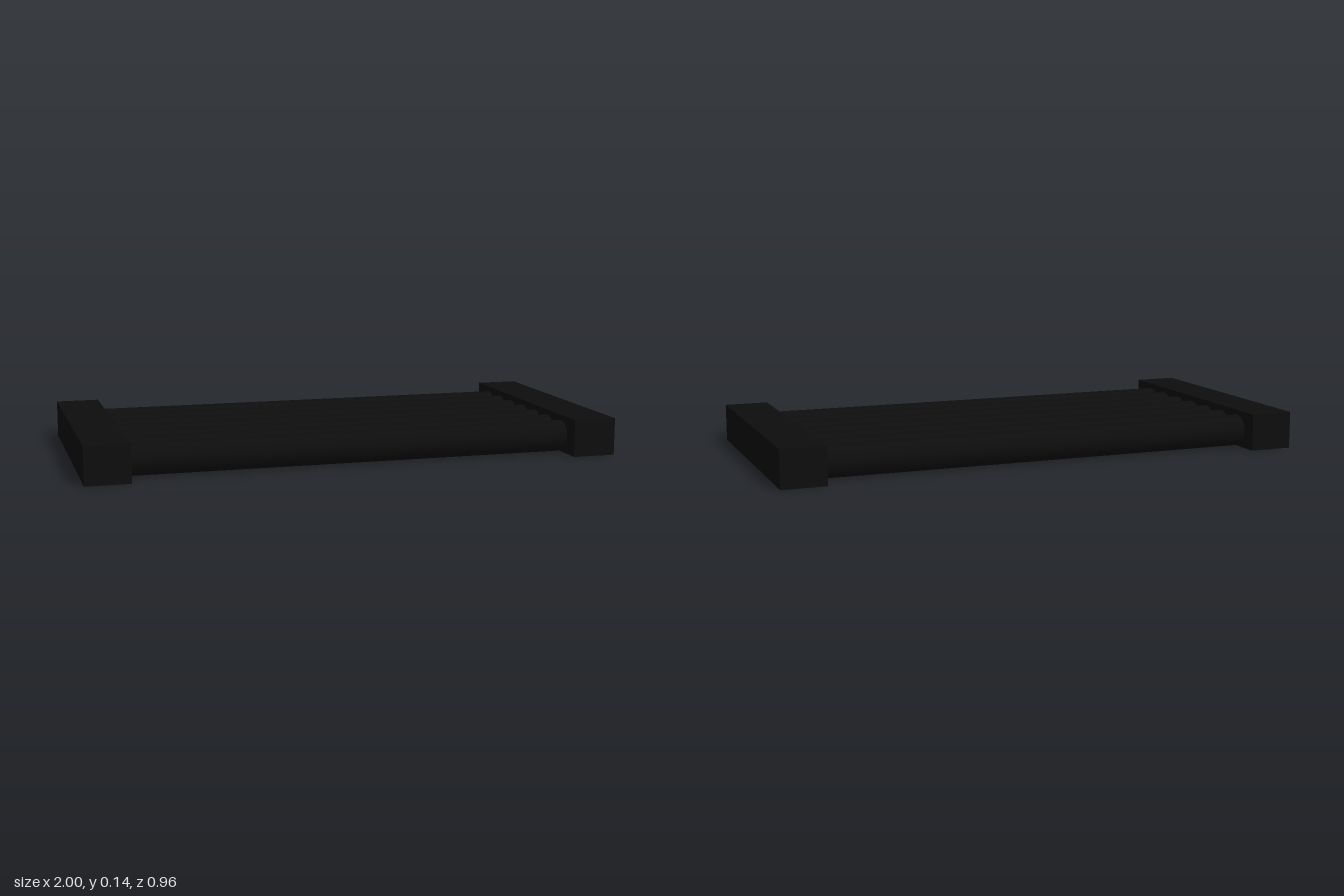
import * as THREE from 'three';

export function createModel() {
  const model = new THREE.Group();
  model.name = 'rollerRack';
  const black = new THREE.MeshStandardMaterial({ color: 0x0d0d0d });
  black.name = 'black';

  // End blocks, mirrored left and right
  const blockWidth = 0.165, blockHeight = 0.141, blockDepth = 0.964;
  for (const side of [1, -1]) {
    const block = new THREE.Mesh(new THREE.BoxGeometry(blockWidth, blockHeight, blockDepth), black);
    block.name = side > 0 ? 'leftEndBlock' : 'rightEndBlock';
    block.position.set(side * (1 - blockWidth / 2), blockHeight / 2, 0);
    model.add(block);
  }

  // Seven round bars side by side, running between the blocks
  const count = 7, pitch = 0.1208, radius = 0.0592;
  const barGeometry = new THREE.CylinderGeometry(radius, radius, 1.69, 32);
  barGeometry.rotateZ(Math.PI / 2);
  for (let i = 0; i < count; i++) {
    const bar = new THREE.Mesh(barGeometry, black);
    bar.name = `roundBar${i + 1}`;
    bar.position.set(0, 0.062, (i - (count - 1) / 2) * pitch - 0.0025);
    model.add(bar);
  }
  return model;
}
